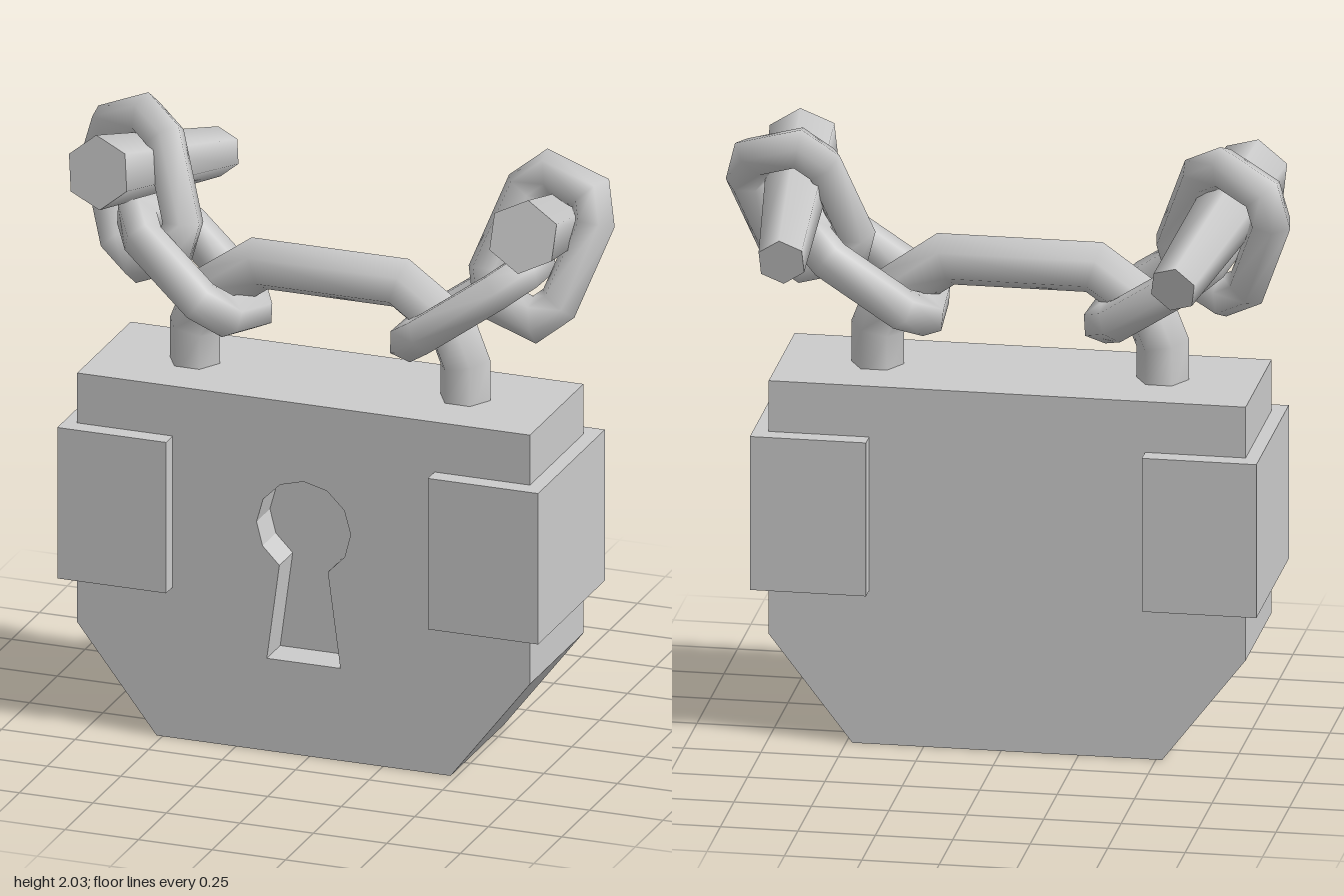
import * as THREE from 'three';

const grey = new THREE.MeshStandardMaterial({ color: 0xcccccc });
const v3 = (x, y, z) => new THREE.Vector3(x, y, z);
const v2 = (x, y) => new THREE.Vector2(x, y);
const MID_X = -0.02, MID_Z = 0.135;

function addMesh(parent, name, geometry, x = 0, y = 0, z = 0) {
  const mesh = new THREE.Mesh(geometry, grey);
  mesh.name = name;
  mesh.position.set(x, y, z);
  parent.add(mesh);
  return mesh;
}

// Six-sided bar swept along a flat path, with mitred corners
function sweptBar(path, radius, closed) {
  const sides = 6, count = path.length, positions = [], index = [];
  const normalOf = (a, b) => {
    const t = b.clone().sub(a).normalize();
    return v2(t.y, -t.x);
  };
  path.forEach((p, i) => {
    const prev = closed ? path[(i + count - 1) % count] : path[i - 1];
    const next = closed ? path[(i + 1) % count] : path[i + 1];
    const n1 = normalOf(prev || p, prev ? p : next);
    const n2 = normalOf(next ? p : prev, next || p);
    const miter = n1.clone().add(n2).divideScalar(1 + n1.dot(n2));
    for (let k = 0; k < sides; k++) {
      const angle = (k / sides) * Math.PI * 2;
      const c = Math.cos(angle) * radius;
      positions.push(p.x + miter.x * c, p.y + miter.y * c, Math.sin(angle) * radius);
    }
  });
  for (let i = 0; i < (closed ? count : count - 1); i++) {
    const j = (i + 1) % count;
    for (let k = 0; k < sides; k++) {
      const m = (k + 1) % sides;
      const a = i * sides + k, b = i * sides + m, c = j * sides + k, d = j * sides + m;
      index.push(a, c, b, b, c, d);
    }
  }
  const geometry = new THREE.BufferGeometry();
  geometry.setAttribute('position', new THREE.Float32BufferAttribute(positions, 3));
  geometry.setIndex(index);
  geometry.computeVertexNormals();
  return geometry;
}

// Long eight-cornered chain link, laid along one direction and widened along another
function addLink(parent, name, { center, along, across, halfWidth }) {
  const w = halfWidth, a = 0.14, l = 0.222, e = 0.078;
  const path = [v2(w, -a), v2(w, a), v2(e, l), v2(-e, l), v2(-w, a), v2(-w, -a), v2(-e, -l), v2(e, -l)];
  const link = addMesh(parent, name, sweptBar(path, 0.067, true));
  const y = along.clone().normalize();
  const x = across.clone().addScaledVector(y, -across.dot(y)).normalize();
  const z = x.clone().cross(y);
  link.quaternion.setFromRotationMatrix(new THREE.Matrix4().makeBasis(x, y, z));
  link.position.copy(center);
}

// Tapered six-sided peg, thick at the front
function addPeg(parent, name, rear, front) {
  const axis = front.clone().sub(rear);
  const peg = addMesh(parent, name, new THREE.CylinderGeometry(0.12, 0.08, axis.length(), 6));
  peg.quaternion.setFromUnitVectors(v3(0, 1, 0), axis.normalize());
  peg.position.copy(front).add(rear).multiplyScalar(0.5);
}

function bodyShape() {
  return new THREE.Shape([
    v2(-0.5, 0), v2(0.5, 0), v2(0.77, 0.35), v2(0.77, 1.2), v2(-0.77, 1.2), v2(-0.77, 0.35),
  ]);
}

// Round head on a flared stem
function keyholePath() {
  const points = [v2(-0.125, 0.315), v2(0.125, 0.315)];
  const start = -1.03, end = Math.PI + 1.03, steps = 10;
  for (let i = 0; i <= steps; i++) {
    const t = start + ((end - start) * i) / steps;
    points.push(v2(0.16 * Math.cos(t), 0.775 + 0.16 * Math.sin(t)));
  }
  return new THREE.Path(points.reverse());
}

export function createModel() {
  const model = new THREE.Group();
  model.name = 'padlockWithChain';

  // Lock body: solid back and a front plate with the keyhole cut through it
  const body = new THREE.Group();
  body.name = 'lockBody';
  model.add(body);
  const plate = bodyShape();
  plate.holes.push(keyholePath());
  const extrude = (shape, depth) => new THREE.ExtrudeGeometry(shape, { depth, bevelEnabled: false });
  addMesh(body, 'bodyBack', extrude(bodyShape(), 0.36), MID_X, 0, -0.105);
  addMesh(body, 'bodyFront', extrude(plate, 0.12), MID_X, 0, 0.255);

  // Side clamps
  addMesh(model, 'rightClamp', new THREE.BoxGeometry(0.37, 0.515, 0.6), -0.65, 0.772, MID_Z);
  addMesh(model, 'leftClamp', new THREE.BoxGeometry(0.375, 0.515, 0.6), 0.613, 0.772, MID_Z);

  // Shackle
  const half = [v2(0.46, 1.15), v2(0.46, 1.32), v2(0.415, 1.435), v2(0.24, 1.56)];
  const shacklePath = [...half, ...half.map((p) => v2(-p.x, p.y)).reverse()];
  addMesh(model, 'shackle', sweptBar(shacklePath, 0.085, false), MID_X, 0, MID_Z);

  // Chain links: the lower one hooks the shackle, the upper one holds the peg
  addLink(model, 'rightLowerLink', {
    center: v3(-0.485, 1.525, 0.125), along: v3(0.8, -0.57, 0.25), across: v3(0, 0.05, 1), halfWidth: 0.145,
  });
  addLink(model, 'leftLowerLink', {
    center: v3(0.46, 1.525, 0.125), along: v3(-0.8, -0.57, 0.1), across: v3(0, 0.05, 1), halfWidth: 0.145,
  });
  addLink(model, 'rightUpperLink', {
    center: v3(-0.69, 1.73, 0.055), along: v3(0.33, -0.87, 0.3), across: v3(0.87, 0, 0.35), halfWidth: 0.14,
  });
  addLink(model, 'leftUpperLink', {
    center: v3(0.68, 1.73, 0.085), along: v3(-0.3, -0.88, 0.33), across: v3(1, 0, 0), halfWidth: 0.13,
  });

  // Pegs through the upper links
  addPeg(model, 'rightPeg', v3(-0.61, 1.69, -0.425), v3(-0.75, 1.86, 0.295));
  addPeg(model, 'leftPeg', v3(0.663, 1.69, -0.37), v3(0.715, 1.86, 0.345));

  return model;
}
